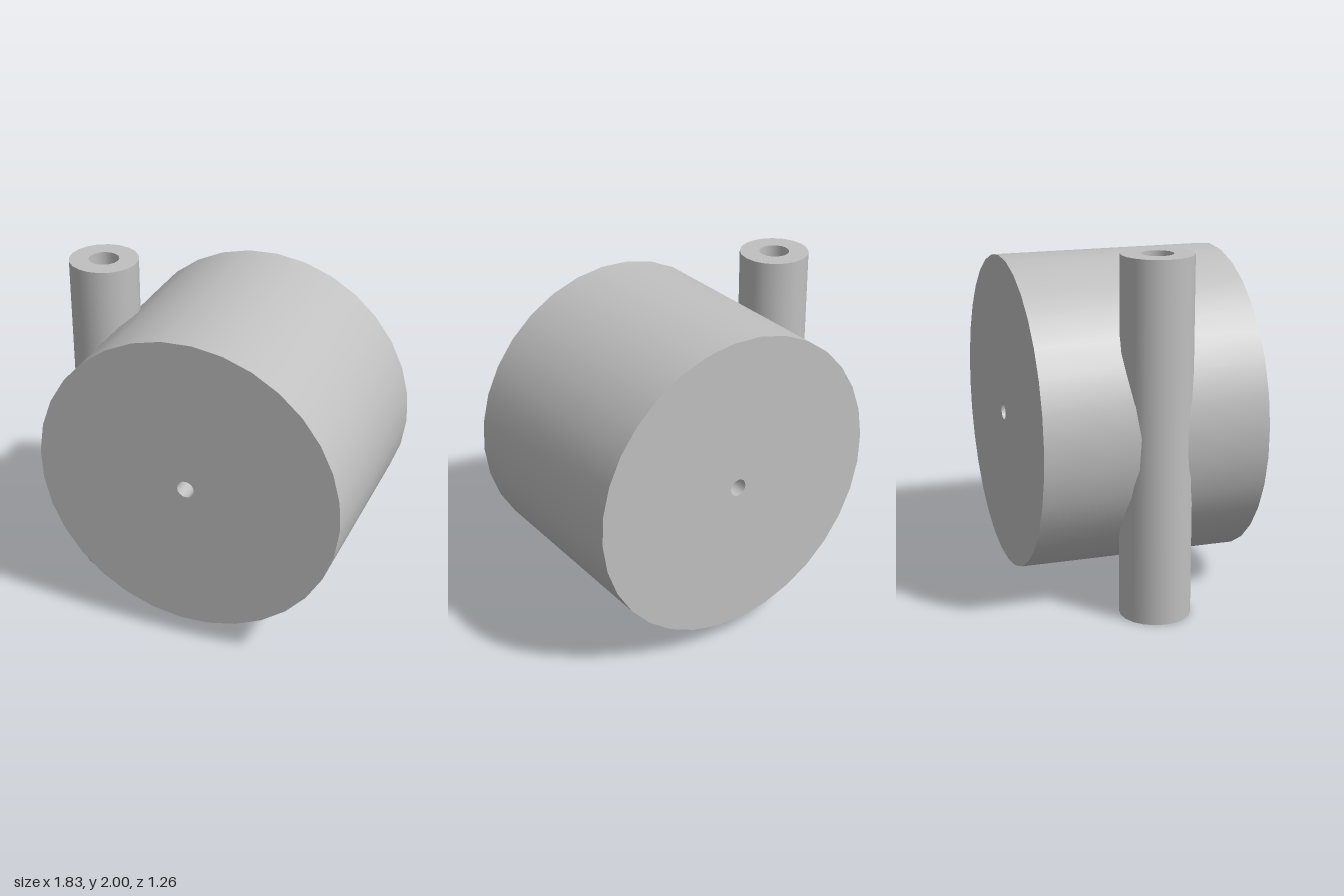
import * as THREE from 'three';
import { toCreasedNormals } from 'three/addons/utils/BufferGeometryUtils.js';

// Points of a regular polygon standing in for a circle
function ring(radius, sides, offset = 0) {
  return Array.from({ length: sides }, (_, i) => {
    const a = offset + (i / sides) * Math.PI * 2;
    return new THREE.Vector2(radius * Math.cos(a), radius * Math.sin(a));
  });
}

// Round bar along z with a bore right through it
function boredCylinder(outer, inner, length) {
  const shape = new THREE.Shape(outer);
  shape.holes.push(new THREE.Path(inner));
  const geometry = new THREE.ExtrudeGeometry(shape, { depth: length, bevelEnabled: false });
  return toCreasedNormals(geometry, THREE.MathUtils.degToRad(35));
}

export function createModel() {
  const model = new THREE.Group();
  model.name = 'drumWithPipe';

  const grey = new THREE.MeshStandardMaterial({ color: 0xc0c0c0 });
  grey.name = 'plain grey';

  // Large drum with a small axle hole, turned very slightly about y
  const drumGeometry = boredCylinder(
    ring(0.888, 32, THREE.MathUtils.degToRad(-3)), ring(0.05, 16), 1.256);
  drumGeometry.translate(0, 0, -0.628);
  const drum = new THREE.Mesh(drumGeometry, grey);
  drum.name = 'drum';
  drum.position.set(0.022, 1.003, 0);
  drum.rotation.y = 0.005;
  model.add(drum);

  // Upright pipe sunk into the side of the drum
  const pipeGeometry = boredCylinder(ring(0.197, 20), ring(0.086, 16), 2);
  pipeGeometry.rotateX(-Math.PI / 2);
  const pipe = new THREE.Mesh(pipeGeometry, grey);
  pipe.name = 'pipe';
  pipe.position.set(-0.719, 0, 0.035);
  model.add(pipe);

  return model;
}
